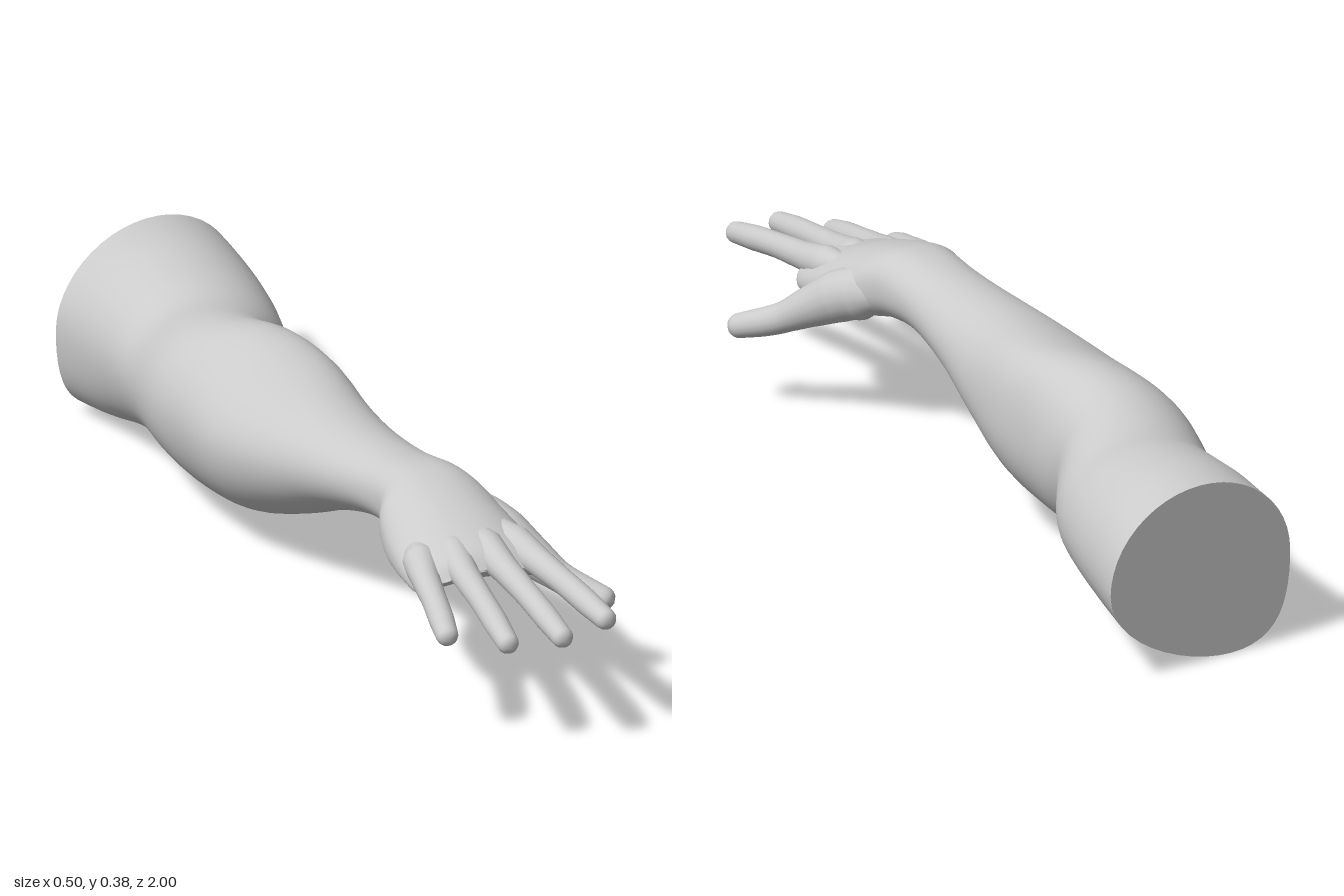
import * as THREE from 'three';
import { mergeVertices } from 'three/addons/utils/BufferGeometryUtils.js';

const SIDES = 48, STEPS = 7;
const { smoothstep, clamp, lerp } = THREE.MathUtils;

// Limb outline from the cut to the knuckles: z, least x, greatest x, bottom y, top y
const OUTLINE = [
  [-0.953, -0.25, 0.16, 0.002, 0.35],
  [-0.83, -0.24, 0.145, 0.012, 0.356],
  [-0.7, -0.232, 0.128, 0.035, 0.346],
  [-0.58, -0.233, 0.1, 0.05, 0.335],
  [-0.42, -0.25, 0.035, 0.055, 0.364],
  [-0.3, -0.245, 0.042, 0.05, 0.383],
  [-0.15, -0.238, 0.057, 0.072, 0.375],
  [0, -0.207, 0.05, 0.125, 0.365],
  [0.15, -0.168, 0.042, 0.188, 0.361],
  [0.3, -0.13, 0.044, 0.23, 0.366],
  [0.4, -0.117, 0.065, 0.236, 0.374],
  [0.46, -0.138, 0.09, 0.23, 0.366],
  [0.54, -0.15, 0.11, 0.24, 0.345],
  [0.61, -0.153, 0.117, 0.243, 0.322],
  [0.67, -0.145, 0.112, 0.245, 0.302],
  [0.7, -0.1, 0.07, 0.268, 0.272],
];

// Smooth blend of the outline values at position u
function outlineAt(u) {
  const last = OUTLINE.length - 1;
  const i = Math.min(Math.floor(u), last - 1), t = u - i;
  const at = (k) => OUTLINE[clamp(k, 0, last)];
  return OUTLINE[i].map((p1, c) => {
    const p2 = at(i + 1)[c], v0 = (p2 - at(i - 1)[c]) / 2, v1 = (at(i + 2)[c] - p1) / 2;
    return (2 * p1 - 2 * p2 + v0 + v1) * t ** 3 + (3 * p2 - 3 * p1 - 2 * v0 - v1) * t * t + v0 * t + p1;
  });
}

// One cross-section: slanted and lopsided at the upper arm, squarer and arched at the hand
function ring(u) {
  const [z, x0, x1, y0, y1] = outlineAt(u);
  const upper = clamp((-0.5 - z) / 0.45, 0, 1);
  const forearmLean = 0.045 * Math.exp(-(((z + 0.2) / 0.2) ** 2));
  const power = 1 - 0.25 * smoothstep(z, 0.2, 0.55);
  const arch = 0.035 * smoothstep(z, 0.38, 0.54) * clamp((0.72 - z) / 0.06, 0, 1);
  const soft = (v) => Math.sign(v) * Math.abs(v) ** power;
  return Array.from({ length: SIDES }, (_, j) => {
    const a = (j / SIDES) * Math.PI * 2, s = Math.sin(a), c = soft(Math.cos(a));
    const x = (x0 + x1) / 2 + (c * (x1 - x0)) / 2 + s * s * (s < 0 ? -0.07 * upper : forearmLean);
    const y = (y0 + y1) / 2 + (soft(s) * (y1 - y0)) / 2 - arch * c * c;
    return new THREE.Vector3(x, y, z - 0.29 * upper * x);
  });
}

function surface(points, index) {
  const g = new THREE.BufferGeometry().setFromPoints(points);
  g.setIndex(index);
  g.computeVertexNormals();
  return g;
}

function limbGeometry() {
  const points = [], index = [], rows = (OUTLINE.length - 1) * STEPS;
  for (let i = 0; i <= rows; i++) points.push(...ring(i / STEPS));
  for (let i = 0; i < rows; i++) {
    for (let j = 0; j < SIDES; j++) {
      const a = i * SIDES + j, b = i * SIDES + ((j + 1) % SIDES);
      index.push(a, b, b + SIDES, a, b + SIDES, a + SIDES);
    }
  }
  return surface(points, index);
}

// Flat slanted end of the upper arm
function cutGeometry() {
  const points = ring(0), index = [], middle = new THREE.Vector3();
  points.forEach((p) => middle.addScaledVector(p, 1 / SIDES));
  for (let j = 0; j < SIDES; j++) index.push(SIDES, (j + 1) % SIDES, j);
  return surface([...points, middle], index);
}

// Tapered tube with a rounded tip; radii are spread evenly along the path
function fingerGeometry(path, radii) {
  const curve = new THREE.CatmullRomCurve3(path.map((p) => new THREE.Vector3(...p)));
  const rows = 64, sides = 16, length = curve.getLength(), tip = radii[radii.length - 1];
  const g = new THREE.TubeGeometry(curve, rows, 1, sides);
  const pos = g.attributes.position, v = new THREE.Vector3();
  for (let i = 0; i <= rows; i++) {
    const u = i / rows, center = curve.getPointAt(u);
    const f = u * (radii.length - 1), k = Math.min(Math.floor(f), radii.length - 2);
    const s = Math.min(1, ((1 - u) * length) / tip);
    const r = lerp(radii[k], radii[k + 1], f - k) * Math.sqrt(1 - (1 - s) ** 2);
    for (let j = 0; j <= sides; j++) {
      const n = i * (sides + 1) + j;
      v.fromBufferAttribute(pos, n).sub(center).multiplyScalar(r).add(center);
      pos.setXYZ(n, v.x, v.y, v.z);
    }
  }
  g.deleteAttribute('normal');
  g.deleteAttribute('uv');
  const merged = mergeVertices(g, 1e-5);
  merged.computeVertexNormals();
  return merged;
}

export function createModel() {
  const group = new THREE.Group();
  group.name = 'arm';
  const skin = new THREE.MeshStandardMaterial({ color: 0xcccccc });
  const add = (name, geometry) => {
    const mesh = new THREE.Mesh(geometry, skin);
    mesh.name = name;
    group.add(mesh);
  };

  add('armAndPalm', limbGeometry());
  add('upperArmCut', cutGeometry());

  // Four fingers: root inside the palm, knuckle, tip
  const addFinger = (name, root, knuckle, end) => {
    const middle = knuckle.map((k, i) => lerp(k, end[i], 0.48) + (i === 1 ? 0.003 : 0));
    add(name, fingerGeometry([root, knuckle, middle, end], [0.02, 0.034, 0.027, 0.024, 0.024, 0.02]));
  };
  addFinger('littleFinger', [-0.1, 0.28, 0.55], [-0.128, 0.262, 0.66], [-0.16, 0.212, 0.865]);
  addFinger('ringFinger', [-0.045, 0.295, 0.54], [-0.062, 0.273, 0.68], [-0.073, 0.22, 0.958]);
  addFinger('middleFinger', [0.005, 0.3, 0.54], [0.01, 0.279, 0.68], [0.021, 0.235, 1]);
  addFinger('indexFinger', [0.05, 0.295, 0.54], [0.078, 0.277, 0.67], [0.125, 0.242, 0.963]);

  // Thumb with its fleshy base
  add('thumb', fingerGeometry(
    [[0.03, 0.285, 0.42], [0.075, 0.265, 0.5], [0.125, 0.225, 0.565], [0.17, 0.19, 0.615], [0.242, 0.158, 0.688]],
    [0.025, 0.052, 0.05, 0.04, 0.03, 0.027, 0.022]));
  return group;
}
